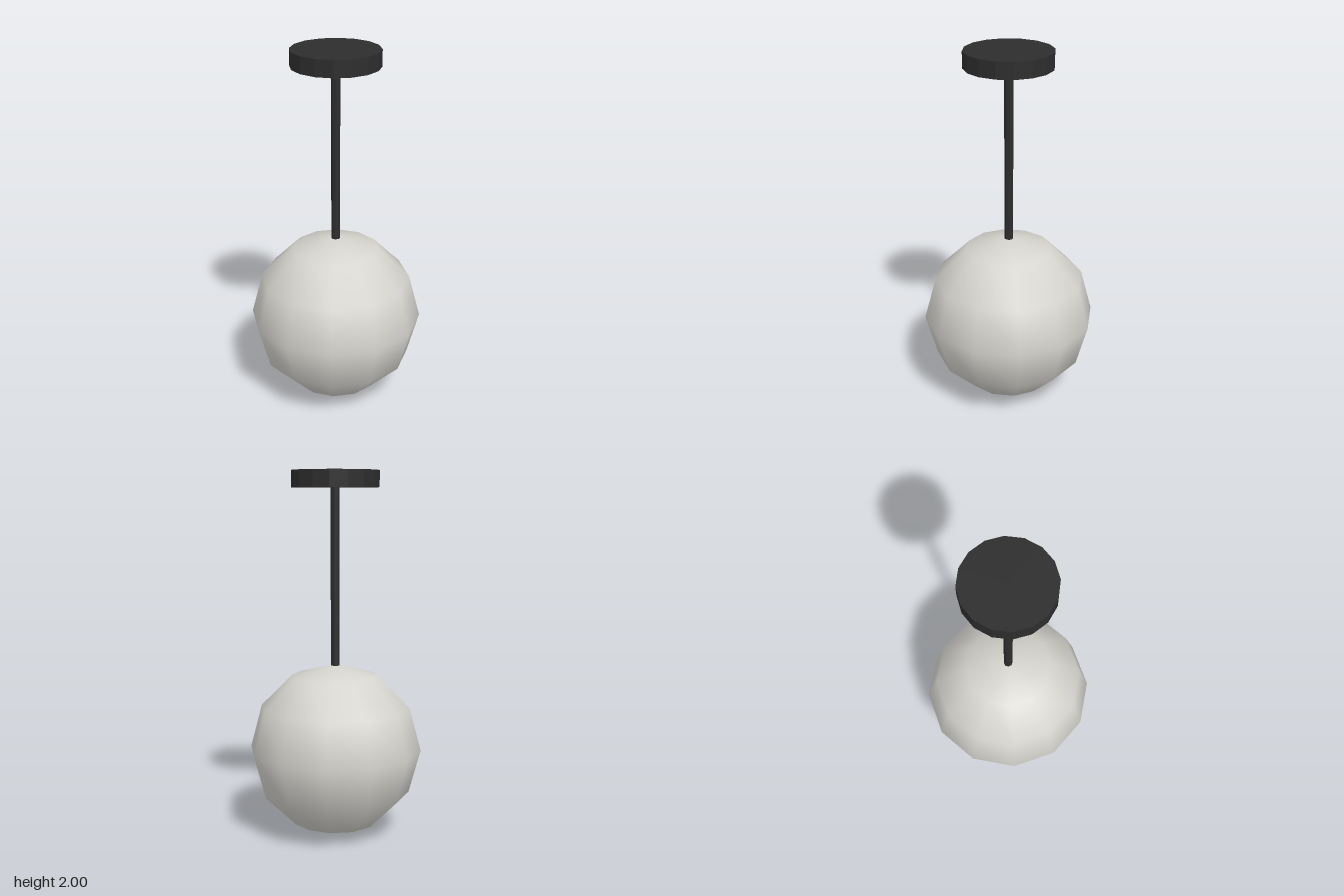
import * as THREE from 'three';

export function createModel() {
  const model = new THREE.Group();
  model.name = 'pendantLamp';

  const darkMetal = new THREE.MeshStandardMaterial({ color: 0x2d2d2d, flatShading: true });
  darkMetal.name = 'dark metal';
  const opalGlass = new THREE.MeshStandardMaterial({ color: 0xd6d4ce });
  opalGlass.name = 'opal glass';

  const add = (name, geometry, material, y) => {
    const mesh = new THREE.Mesh(geometry, material);
    mesh.name = name;
    mesh.position.y = y;
    model.add(mesh);
  };

  // Upright cylinder between two heights
  const addCylinder = (name, radius, bottom, top, sides) =>
    add(name, new THREE.CylinderGeometry(radius, radius, top - bottom, sides), darkMetal, (bottom + top) / 2);

  // Ceiling plate, hanging rod and coarse smooth-shaded globe
  addCylinder('ceilingPlate', 0.238, 1.91, 2, 16);
  addCylinder('rod', 0.024, 0.94, 1.915, 8);
  add('globe', new THREE.SphereGeometry(0.476, 12, 6), opalGlass, 0.476);

  return model;
}
